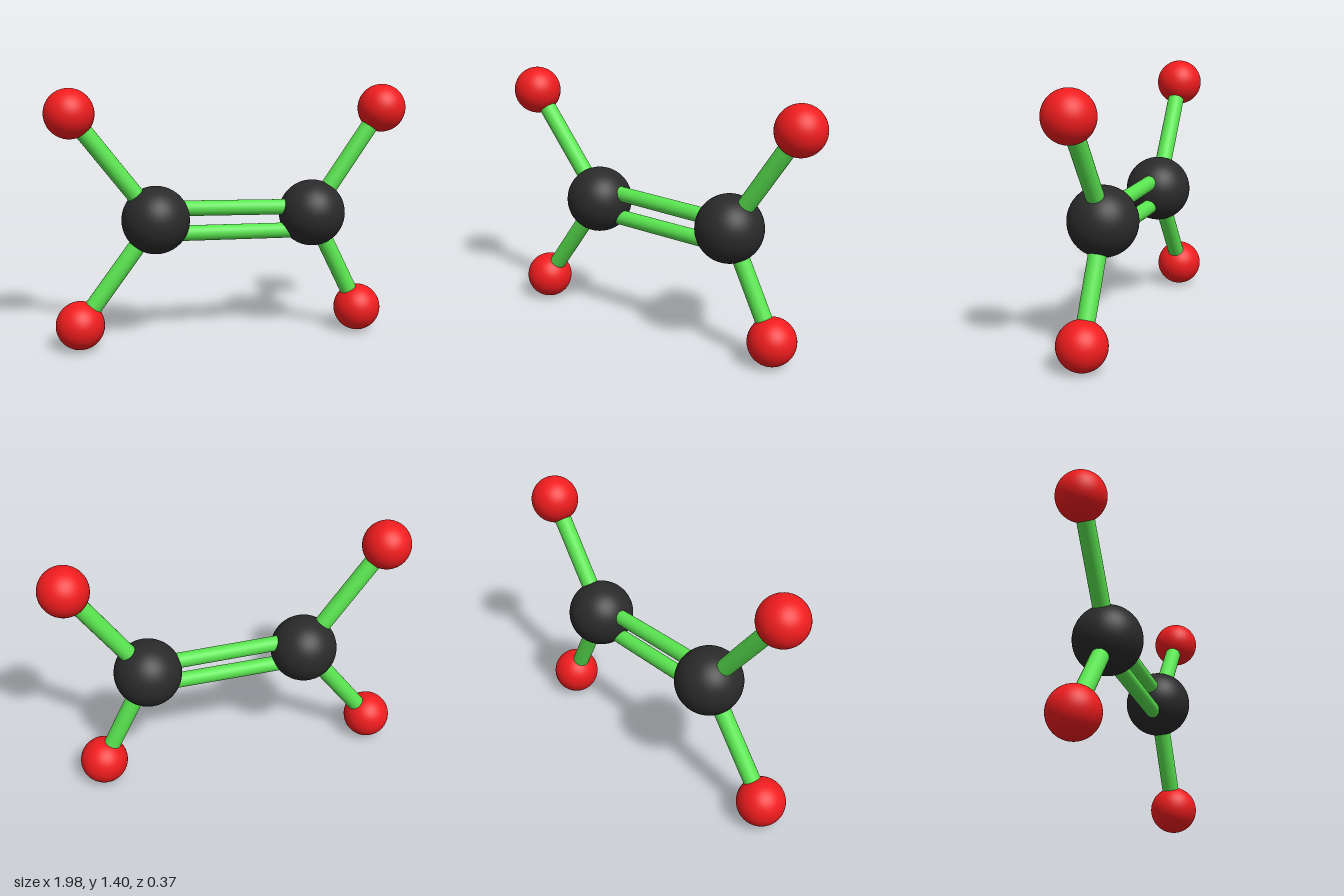
import * as THREE from 'three';

const RED = 0xf01c1e, BLACK = 0x2a2a2a, GREEN = 0x5ae650;

export function createModel() {
  const model = new THREE.Group();
  model.name = 'molecule';
  const paint = (color) => new THREE.MeshStandardMaterial({ color });
  const red = paint(RED), black = paint(BLACK), green = paint(GREEN);
  const v = (x, y, z) => new THREE.Vector3(x, y, z);

  // Ball centred on a point
  function ball(name, center, radius, material) {
    const mesh = new THREE.Mesh(new THREE.SphereGeometry(radius, 48, 32), material);
    mesh.position.copy(center);
    mesh.name = name;
    model.add(mesh);
  }

  // Round rod running between two points
  function rod(name, a, b, radius) {
    const dir = b.clone().sub(a);
    const mesh = new THREE.Mesh(new THREE.CylinderGeometry(radius, radius, dir.length(), 24), green);
    mesh.position.copy(a).addScaledVector(dir, 0.5);
    mesh.quaternion.setFromUnitVectors(v(0, 1, 0), dir.normalize());
    mesh.name = name;
    model.add(mesh);
  }

  // Two large central atoms
  const rightCore = v(-0.42, 0.7, -0.003), leftCore = v(0.457, 0.7, 0);
  ball('rightCoreAtom', rightCore, 0.183, black);
  ball('leftCoreAtom', leftCore, 0.183, black);

  // Four small outer atoms, each on a single rod
  const outer = [
    ['rightUpper', rightCore, v(-0.863, 1.28, 0.008)],
    ['rightLower', rightCore, v(-0.837, 0.14, -0.01)],
    ['leftUpper', leftCore, v(0.85, 1.273, 0.008)],
    ['leftLower', leftCore, v(0.735, 0.137, 0.005)],
  ];
  for (const [name, core, center] of outer) {
    ball(name + 'Atom', center, 0.131, red);
    rod(name + 'Bond', core, center, 0.047);
  }

  // Double bond: two near-parallel rods, sloping slightly
  rod('doubleBondUpper', v(-0.4, 0.761, -0.002), v(0.44, 0.737, 0.01), 0.042);
  rod('doubleBondLower', v(-0.4, 0.623, -0.002), v(0.44, 0.606, 0.01), 0.042);

  return model;
}
